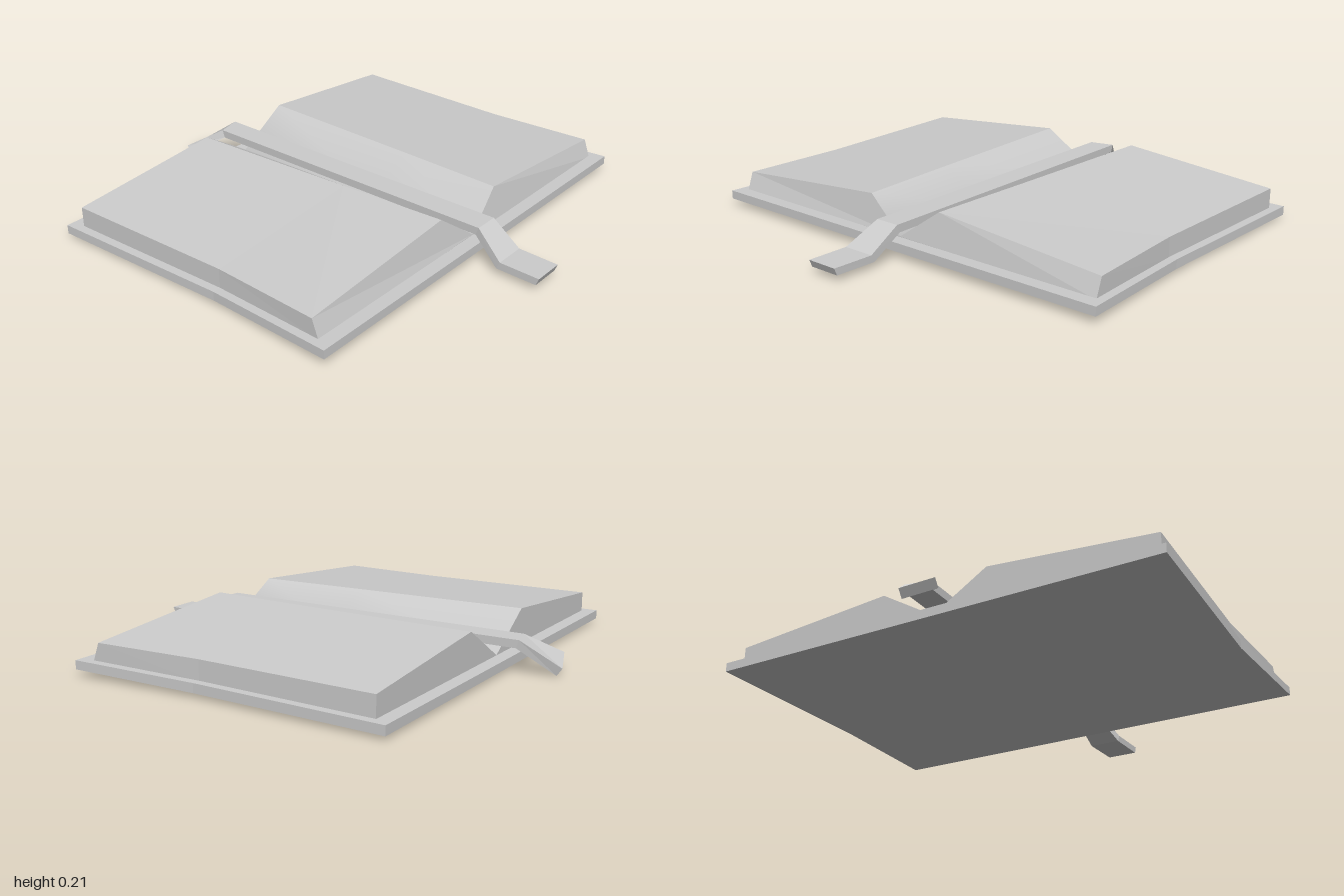
import * as THREE from 'three';

// Flat-faced loft through cross-sections running along +x. Each section is a loop of
// [x, y, z] points going from back to front over the top; `skip` leaves out side strips.
function loft(sections, skip = []) {
  const pos = [];
  const n = sections[0].length;
  const tri = (a, b, c) => pos.push(...a, ...b, ...c);
  for (let s = 0; s < sections.length - 1; s++) {
    const a = sections[s], b = sections[s + 1];
    for (let i = 0; i < n; i++) {
      if (skip.includes(i)) continue;
      const j = (i + 1) % n;
      tri(a[i], a[j], b[j]);
      tri(a[i], b[j], b[i]);
    }
  }
  // End caps
  for (const [sec, dir] of [[sections[0], -1], [sections[sections.length - 1], 1]]) {
    const flat = sec.map(([, y, z]) => new THREE.Vector2(y, z));
    for (const [i, j, k] of THREE.ShapeUtils.triangulateShape(flat, [])) {
      const area = flat[j].clone().sub(flat[i]).cross(flat[k].clone().sub(flat[i]));
      if (area * dir > 0) tri(sec[i], sec[j], sec[k]);
      else tri(sec[i], sec[k], sec[j]);
    }
  }
  const g = new THREE.BufferGeometry();
  g.setAttribute('position', new THREE.Float32BufferAttribute(pos, 3));
  g.computeVertexNormals();
  return g;
}

// Smooth strip: shared vertices so the shading rounds over the valley
function smoothStrip(sections) {
  const n = sections[0].length;
  const index = [];
  for (let s = 0; s < sections.length - 1; s++) {
    for (let i = 0; i < n - 1; i++) {
      const a = s * n + i, b = a + n;
      index.push(a, a + 1, b + 1, a, b + 1, b);
    }
  }
  const g = new THREE.BufferGeometry();
  g.setAttribute('position', new THREE.Float32BufferAttribute(sections.flat(2), 3));
  g.setIndex(index);
  g.computeVertexNormals();
  return g;
}

export function createModel() {
  const model = new THREE.Group();
  model.name = 'openBook';
  const grey = new THREE.MeshStandardMaterial({ color: 0xcccccc });
  grey.name = 'plainGrey';
  const add = (name, geometry) => {
    const mesh = new THREE.Mesh(geometry, grey);
    mesh.name = name;
    model.add(mesh);
  };

  // Cover board: pinched in the middle, lifted slightly at the +x end
  const cover = [
    [-0.77, 1.0, 0.023, 0.062],
    [0.08, 0.973, 0.026, 0.066],
    [0.66, 1.0, 0.037, 0.075],
  ].map(([x, w, y0, y1]) => [[x, y0, -w], [x, y1, -w], [x, y1, w], [x, y0, w]]);
  add('cover', loft(cover));

  // Page block: x at the base, x at the top, half length, ridge position, base height
  const pages = [
    [-0.71, -0.71, 0.96, 0.24, 0.055],
    [0.08, 0.08, 0.937, 0.209, 0.06],
    [0.6, 0.57, 0.96, 0.187, 0.068],
  ].map(([xb, xt, w, r, y]) => [
    [xb, y, -w], [xt, 0.15, -w], [xt, 0.213, -r], [xb, y + 0.008, 0],
    [xt, 0.213, r], [xt, 0.15, w], [xb, y, w],
  ]);
  add('pages', loft(pages, [2, 3]));
  add('gutter', smoothStrip(pages.map((s) => s.slice(2, 5))));

  // Bookmark ribbon: back top corner, front top corner, then the offset to the underside
  const ribbon = [
    [[-0.985, 0.04, 0.03], [-0.94, 0.073, 0.16], [0.024, -0.034]],
    [[-0.83, 0.155, -0.055], [-0.805, 0.155, 0.053], [0.012, -0.035]],
    [[0.665, 0.155, -0.05], [0.665, 0.155, 0.06], [-0.013, -0.035]],
    [[0.8, 0.065, -0.04], [0.8, 0.065, 0.103], [-0.015, -0.032]],
    [[0.985, 0.065, -0.03], [0.985, 0.065, 0.11], [-0.013, -0.032]],
  ].map(([back, front, [dx, dy]]) => {
    const under = ([x, y, z]) => [x + dx, y + dy, z];
    return [under(back), back, front, under(front)];
  });
  add('bookmarkRibbon', loft(ribbon));

  return model;
}
